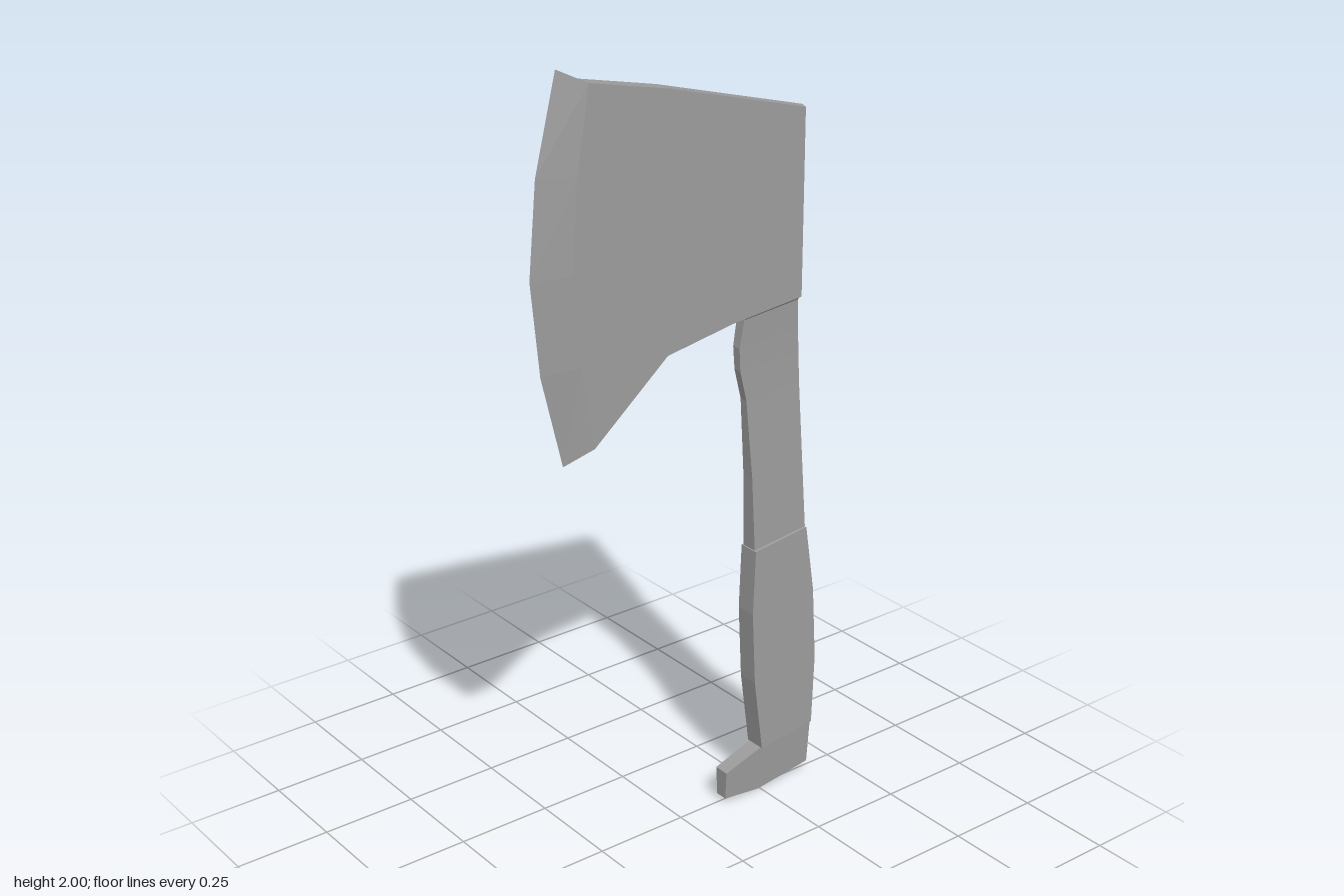
import * as THREE from 'three';

const HALF = 0.026; // half thickness of the head

const material = new THREE.MeshStandardMaterial({ color: 0x9c9c9c, flatShading: true });

function addMesh(group, name, geometry) {
  const mesh = new THREE.Mesh(geometry, material);
  mesh.name = name;
  group.add(mesh);
}

// Closed skin over rings of [x, y, z] points, listed from top to bottom,
// each ring counter-clockwise when seen from above.
function loft(rings) {
  const pos = [];
  const tri = (a, b, c) => pos.push(...a, ...b, ...c);
  const n = rings[0].length;
  for (let r = 0; r < rings.length - 1; r++) {
    const a = rings[r], b = rings[r + 1];
    for (let i = 0; i < n; i++) {
      const j = (i + 1) % n;
      tri(b[i], b[j], a[j]);
      tri(b[i], a[j], a[i]);
    }
  }
  const top = rings[0], end = rings[rings.length - 1];
  for (let i = 1; i < n - 1; i++) {
    tri(top[0], top[i], top[i + 1]);
    tri(end[0], end[i + 1], end[i]);
  }
  const g = new THREE.BufferGeometry();
  g.setAttribute('position', new THREE.Float32BufferAttribute(pos, 3));
  g.computeVertexNormals();
  return g;
}

// Bar from rows of [front x, front y, back x, back y, half thickness],
// with a shallow crease of the given depth down the middle of its back
const bar = (rows, crease) => loft(rows.map(([lx, ly, rx, ry, h]) =>
  [[lx, ly, h], [rx, ry, h], [rx - crease, ry, 0], [rx, ry, -h], [lx, ly, -h]]));

// Flat plate of the given outline, centred on z = 0
function plate(points, half) {
  const shape = new THREE.Shape(points.map(p => new THREE.Vector2(...p)));
  const g = new THREE.ExtrudeGeometry(shape, { depth: 2 * half, bevelEnabled: false });
  return g.translate(0, 0, -half);
}

export function createModel() {
  const model = new THREE.Group();
  model.name = 'hatchet';

  // Head: flat cheeks, sharpened edge and ridged back
  const head = new THREE.Group();
  head.name = 'head';
  model.add(head);
  const shoulder = [[-0.27, 1.965], [-0.305, 1.76], [-0.322, 1.54], [-0.305, 1.32], [-0.27, 1.112]];
  const edge = [[-0.339, 2], [-0.398, 1.77], [-0.42, 1.54], [-0.398, 1.31], [-0.342, 1.077]];
  addMesh(head, 'cheeks', plate([
    ...shoulder, [-0.058, 1.29], [0.14, 1.325], [0.348, 1.346], [0.348, 1.812], [-0.05, 1.918],
  ], HALF));
  addMesh(head, 'cuttingEdge', loft(edge.map(([x, y], i) => {
    const [sx, sy] = shoulder[i];
    return [[x, y, 0], [sx, sy, HALF], [sx, sy, -HALF]];
  })));
  addMesh(head, 'headBack', loft([1.812, 1.346].map(y =>
    [[0.348, y, HALF], [0.359, y, 0], [0.348, y, -HALF]])));

  // Handle: slim neck flaring under the head, thicker grip
  addMesh(model, 'neck', bar([
    [0.185, 1.332, 0.345, 1.348, 0.025],
    [0.18, 1.32, 0.347, 1.336, 0.014],
    [0.168, 1.25, 0.351, 1.26, 0.012],
    [0.172, 1.19, 0.355, 1.2, 0.011],
    [0.192, 1.11, 0.359, 1.12, 0.011],
    [0.209, 0.9, 0.37, 0.91, 0.017],
    [0.216, 0.705, 0.38, 0.725, 0.022],
  ], 0));
  addMesh(model, 'grip', bar([
    [0.215, 0.703, 0.38, 0.724, 0.028],
    [0.208, 0.53, 0.408, 0.54, 0.028],
    [0.218, 0.33, 0.42, 0.34, 0.028],
    [0.245, 0.128, 0.413, 0.148, 0.028],
  ], 0.004));

  // Hooked pommel, thinning towards its sole
  const pommel = plate([
    [0.133, 0.013], [0.245, 0], [0.409, 0.025], [0.412, 0.148], [0.245, 0.128], [0.133, 0.09],
  ], 1);
  const p = pommel.attributes.position;
  for (let i = 0; i < p.count; i++) {
    p.setZ(i, p.getZ(i) * (0.016 + 0.055 * p.getY(i)));
  }
  pommel.computeVertexNormals();
  addMesh(model, 'pommel', pommel);

  return model;
}
